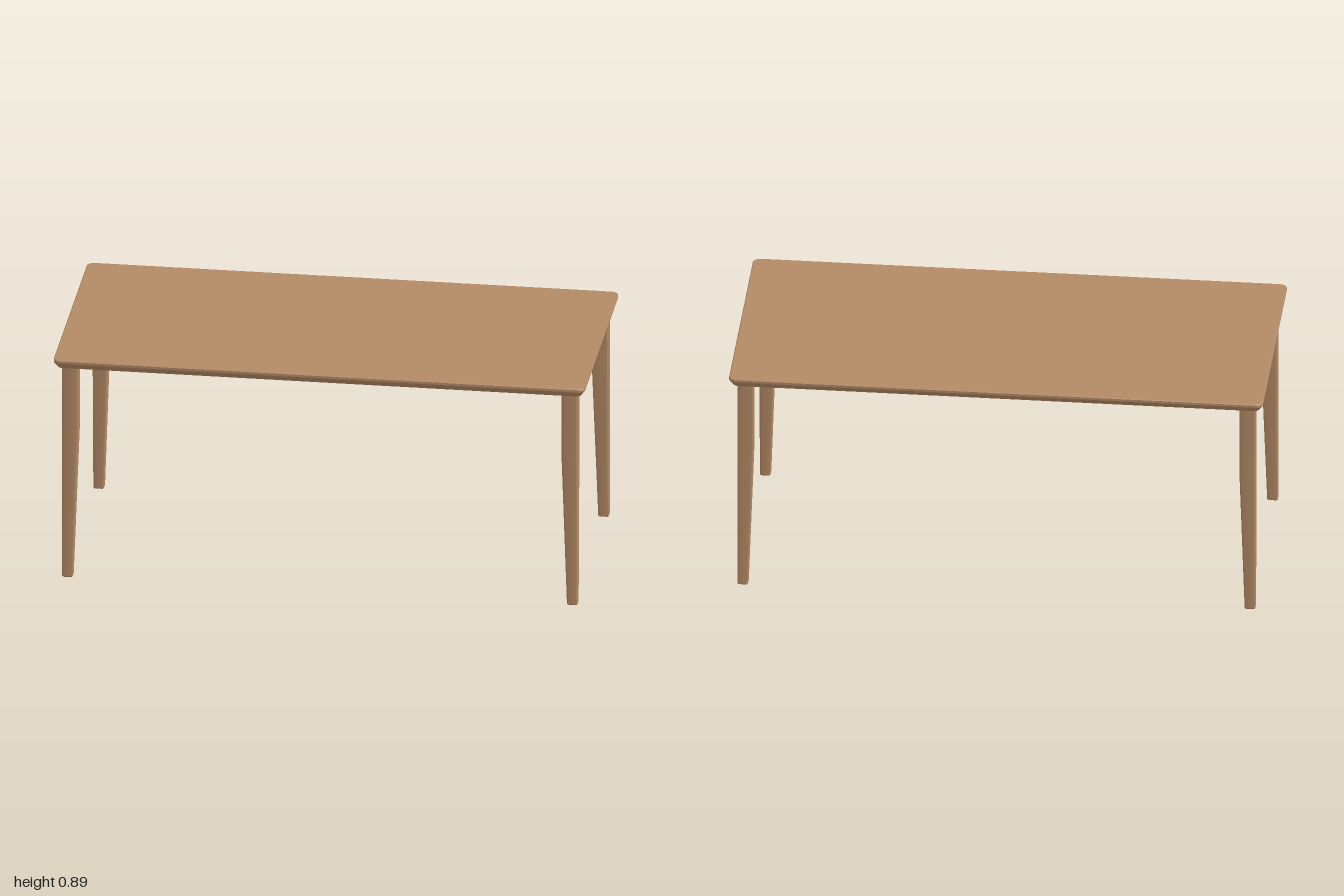
import * as THREE from 'three';
import { toCreasedNormals } from 'three/addons/utils/BufferGeometryUtils.js';

const CORNER_STEPS = 4;

// Horizontal rounded rectangle at height y, running from +x towards +z
function ring(x0, x1, z0, z1, r, y) {
  const corners = [[x1 - r, z1 - r], [x0 + r, z1 - r], [x0 + r, z0 + r], [x1 - r, z0 + r]];
  const points = [];
  corners.forEach(([cx, cz], i) => {
    for (let s = 0; s <= CORNER_STEPS; s++) {
      const a = (i + s / CORNER_STEPS) * Math.PI / 2;
      points.push([cx + r * Math.cos(a), y, cz + r * Math.sin(a)]);
    }
  });
  return points;
}

// Closed solid through rings listed from bottom to top
function loft(rings) {
  const n = rings[0].length;
  const index = [];
  for (let k = 0; k < rings.length - 1; k++) {
    for (let i = 0; i < n; i++) {
      const a = k * n + i, b = k * n + (i + 1) % n;
      index.push(a, a + n, b, b, a + n, b + n);
    }
  }
  const last = (rings.length - 1) * n;
  for (let i = 1; i < n - 1; i++) {
    index.push(0, i, i + 1);
    index.push(last, last + i + 1, last + i);
  }
  const geometry = new THREE.BufferGeometry();
  geometry.setAttribute('position', new THREE.Float32BufferAttribute(rings.flat(2), 3));
  geometry.setIndex(index);
  return toCreasedNormals(geometry, 0.5);
}

export function createModel() {
  const wood = new THREE.MeshStandardMaterial({ color: 0xb38964 });
  wood.name = 'wood';
  const table = new THREE.Group();
  table.name = 'table';

  // Top: underside chamfer, upright edge, slightly eased upper edge
  const slab = [[0.016, 0.853], [0, 0.876], [0, 0.885], [0.003, 0.888]].map(([inset, y]) =>
    ring(-1 + inset, 1 - inset, -0.468 + inset, 0.468 - inset, 0.025 - inset * 0.5, y));
  const top = new THREE.Mesh(loft(slab), wood);
  top.name = 'tableTop';
  table.add(top);

  // Legs: straight outer faces, inner faces tapering towards the foot
  const profile = [[0.003, 0.037, 0], [0, 0.04, 0.004], [0, 0.06, 0.59], [0, 0.06, 0.855]];
  for (const sx of [1, -1]) {
    for (const sz of [1, -1]) {
      const rings = profile.map(([outer, inner, y]) => {
        const xs = [sx * (0.97 - outer), sx * (0.97 - inner)].sort((a, b) => a - b);
        const zs = [sz * (0.44 - outer), sz * (0.44 - inner)].sort((a, b) => a - b);
        return ring(...xs, ...zs, 0.005, y);
      });
      const leg = new THREE.Mesh(loft(rings), wood);
      leg.name = (sz > 0 ? 'front' : 'back') + (sx > 0 ? 'Left' : 'Right') + 'Leg';
      table.add(leg);
    }
  }
  return table;
}
